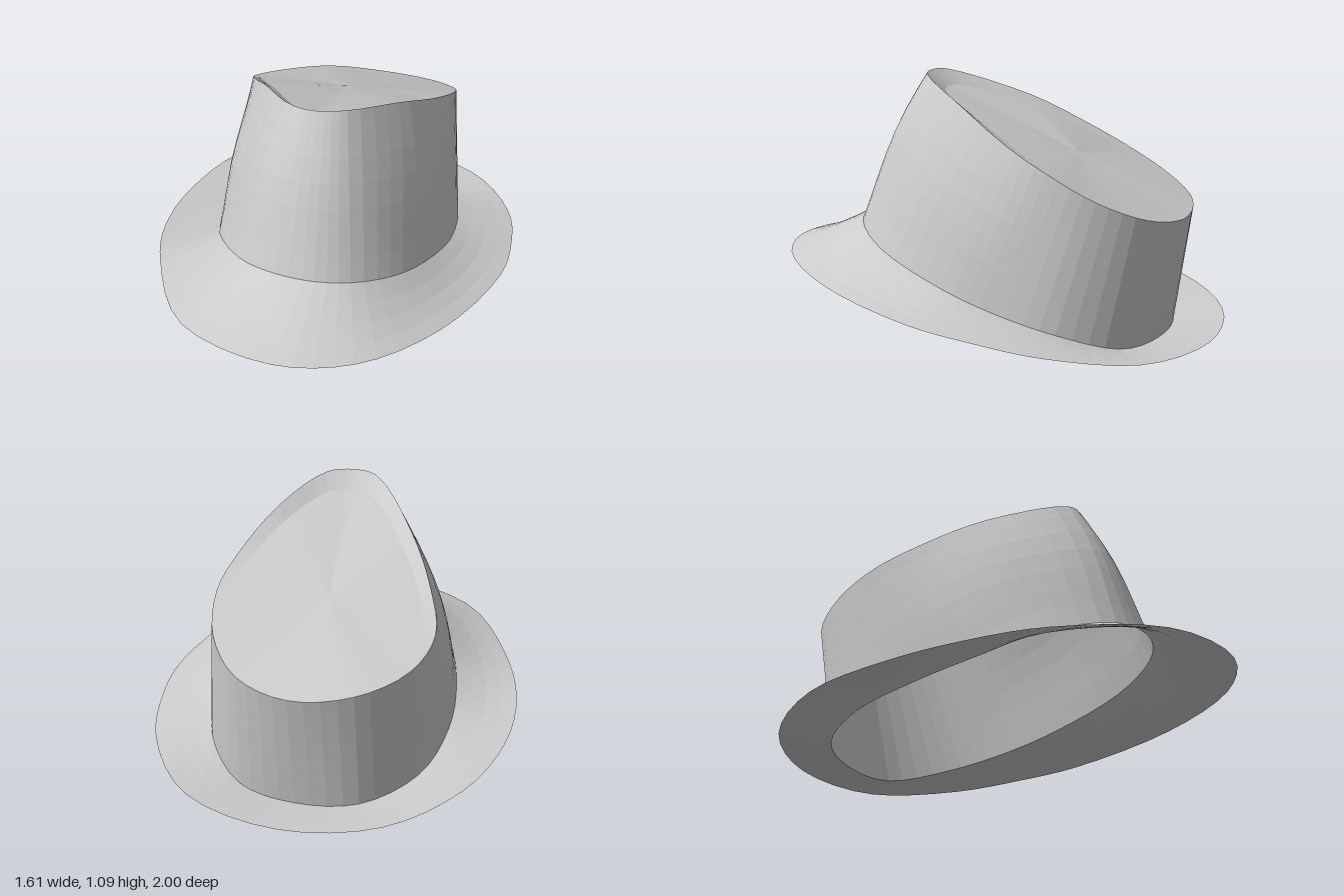
import * as THREE from 'three';

const SEGMENTS = 56;

// Closed control loops [x, y, z], running from the front round by the model's left.
const BRIM_EDGE = [
  [0.10, 0.28, 1.0], [0.42, 0.27, 0.87], [0.67, 0.23, 0.51], [0.80, 0.175, 0.0],
  [0.775, 0.14, -0.29], [0.68, 0.095, -0.58], [0.41, 0.04, -0.89], [-0.04, 0.022, -1.0],
  [-0.45, 0.042, -0.885], [-0.71, 0.085, -0.58], [-0.80, 0.115, -0.18], [-0.77, 0.155, 0.17],
  [-0.65, 0.205, 0.47], [-0.36, 0.25, 0.87],
];
const CROWN_BASE = [
  [0.10, 0.44, 0.63], [0.29, 0.425, 0.56], [0.45, 0.36, 0.35], [0.53, 0.26, 0.0],
  [0.515, 0.185, -0.25], [0.44, 0.11, -0.51], [0.24, 0.025, -0.71], [-0.03, 0.008, -0.765],
  [-0.30, 0.022, -0.71], [-0.49, 0.065, -0.48], [-0.54, 0.13, -0.17], [-0.505, 0.21, 0.1],
  [-0.41, 0.31, 0.33], [-0.17, 0.41, 0.575],
];
const CROWN_TOP = [
  [0.06, 1.10, 0.335], [0.17, 1.095, 0.28], [0.31, 1.01, 0.03], [0.40, 0.88, -0.25],
  [0.42, 0.79, -0.45], [0.36, 0.68, -0.65], [0.20, 0.59, -0.81], [-0.04, 0.55, -0.865],
  [-0.30, 0.57, -0.79], [-0.48, 0.62, -0.60], [-0.53, 0.70, -0.40], [-0.45, 0.82, -0.20],
  [-0.30, 0.96, 0.03], [-0.05, 1.09, 0.32],
];

function sampleLoop(points) {
  const curve = new THREE.CatmullRomCurve3(
    points.map((p) => new THREE.Vector3(...p)), true, 'centripetal');
  return Array.from({ length: SEGMENTS }, (_, i) => curve.getPoint(i / SEGMENTS));
}

// Skin between two loops; adjust(point, t) bends the in-between rows.
function loft(name, from, to, steps, adjust, material) {
  const positions = [];
  const index = [];
  steps.forEach((t, row) => {
    for (let j = 0; j < SEGMENTS; j++) {
      const p = from[j].clone().lerp(to[j], t);
      adjust(p, t);
      positions.push(p.x, p.y, p.z);
      if (row === 0) continue;
      const k = (j + 1) % SEGMENTS;
      const lower = (row - 1) * SEGMENTS;
      const upper = row * SEGMENTS;
      index.push(lower + j, lower + k, upper + j);
      // the last row of the lid meets in one point and needs no second triangle
      if (to[j].distanceTo(to[k]) > 0 || t < 1) index.push(lower + k, upper + k, upper + j);
    }
  });
  const indexed = new THREE.BufferGeometry();
  indexed.setAttribute('position', new THREE.Float32BufferAttribute(positions, 3));
  indexed.setIndex(index);
  const geometry = indexed.toNonIndexed();
  geometry.computeVertexNormals();
  const mesh = new THREE.Mesh(geometry, material);
  mesh.name = name;
  return mesh;
}

export function createModel() {
  const material = new THREE.MeshStandardMaterial({
    color: 0xcccccc, flatShading: true, side: THREE.DoubleSide,
  });
  const hat = new THREE.Group();
  hat.name = 'hat';

  const edge = sampleLoop(BRIM_EDGE);
  const base = sampleLoop(CROWN_BASE);
  const top = sampleLoop(CROWN_TOP);
  const centre = top.map(() => new THREE.Vector3(-0.05, 0.78, -0.35));
  const frontness = (z) => THREE.MathUtils.smoothstep(z, -0.5, 0.2);

  // Brim: sags slightly between its edge and the crown, flat at the back
  const sag = (p, t) => { p.y -= 0.015 * frontness(p.z) * Math.sin(Math.PI * t); };
  hat.add(loft('brim', edge, base, [0, 0.25, 0.5, 0.75, 1], sag, material));

  // Crown wall: swells outward towards the front, straight at the back
  const swell = (p, t) => {
    const out = 0.03 * frontness(p.z) * Math.sin(Math.PI * t ** 1.3);
    const length = Math.hypot(p.x, p.z + 0.15);
    p.x += (out * p.x) / length;
    p.z += (out * (p.z + 0.15)) / length;
  };
  hat.add(loft('crown', base, top, [0, 0.15, 0.3, 0.45, 0.6, 0.75, 0.9, 1], swell, material));

  // Crown lid: sunk a little behind the raised front rim
  const sink = (p, t) => {
    if (t > 0 && t < 1) p.y -= 0.035 * frontness(p.z) * (1 - t);
  };
  hat.add(loft('crownLid', top, centre, [0, 0.12, 0.4, 0.7, 1], sink, material));

  return hat;
}
